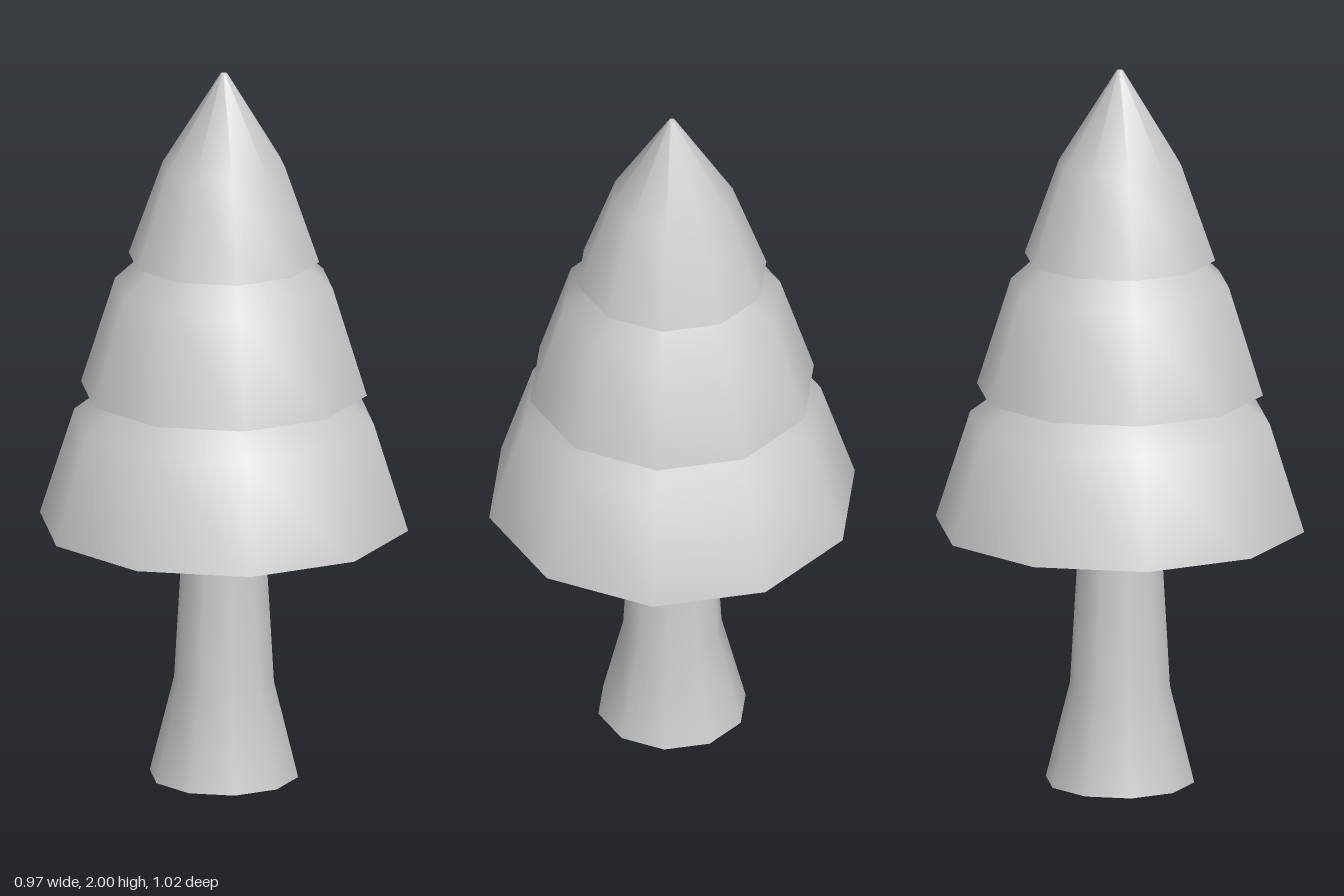
import * as THREE from 'three';

const SIDES = 10;
const grey = new THREE.MeshStandardMaterial({ color: 0xcccccc });
grey.name = 'light grey';

// Ten-sided smooth body from a bottom-to-top profile of [radius, y], closed by a flat base.
function turnedPart(name, profile) {
  const part = new THREE.Group();
  part.name = name;

  const points = profile.map(([r, y]) => new THREE.Vector2(r, y));
  const side = new THREE.Mesh(new THREE.LatheGeometry(points, SIDES), grey);
  side.name = name + 'Side';

  const [baseRadius, baseY] = profile[0];
  const disc = new THREE.CircleGeometry(baseRadius, SIDES, Math.PI / 2);
  disc.rotateX(Math.PI / 2).translate(0, baseY, 0);
  const base = new THREE.Mesh(disc, grey);
  base.name = name + 'Base';

  part.add(side, base);
  return part;
}

export function createModel() {
  const tree = new THREE.Group();
  tree.name = 'tree';

  // Trunk flaring out at the foot
  tree.add(turnedPart('trunk', [[0.205, 0], [0.138, 0.27], [0.112, 0.72]]));

  // Three stacked skirts of foliage; the shoulders run on under the skirt above
  tree.add(turnedPart('lowerFoliage', [[0.509, 0.72], [0.414, 1.02], [0.22, 1.17]]));
  tree.add(turnedPart('middleFoliage', [[0.395, 1.1], [0.301, 1.4], [0.14, 1.55]]));
  tree.add(turnedPart('upperFoliage', [[0.263, 1.475], [0.169, 1.74], [0.009, 2]]));

  // Tiny flat tip
  const tipDisc = new THREE.CircleGeometry(0.009, SIDES, Math.PI / 2);
  tipDisc.rotateX(-Math.PI / 2).translate(0, 2, 0);
  const tip = new THREE.Mesh(tipDisc, grey);
  tip.name = 'tip';
  tree.add(tip);

  return tree;
}
